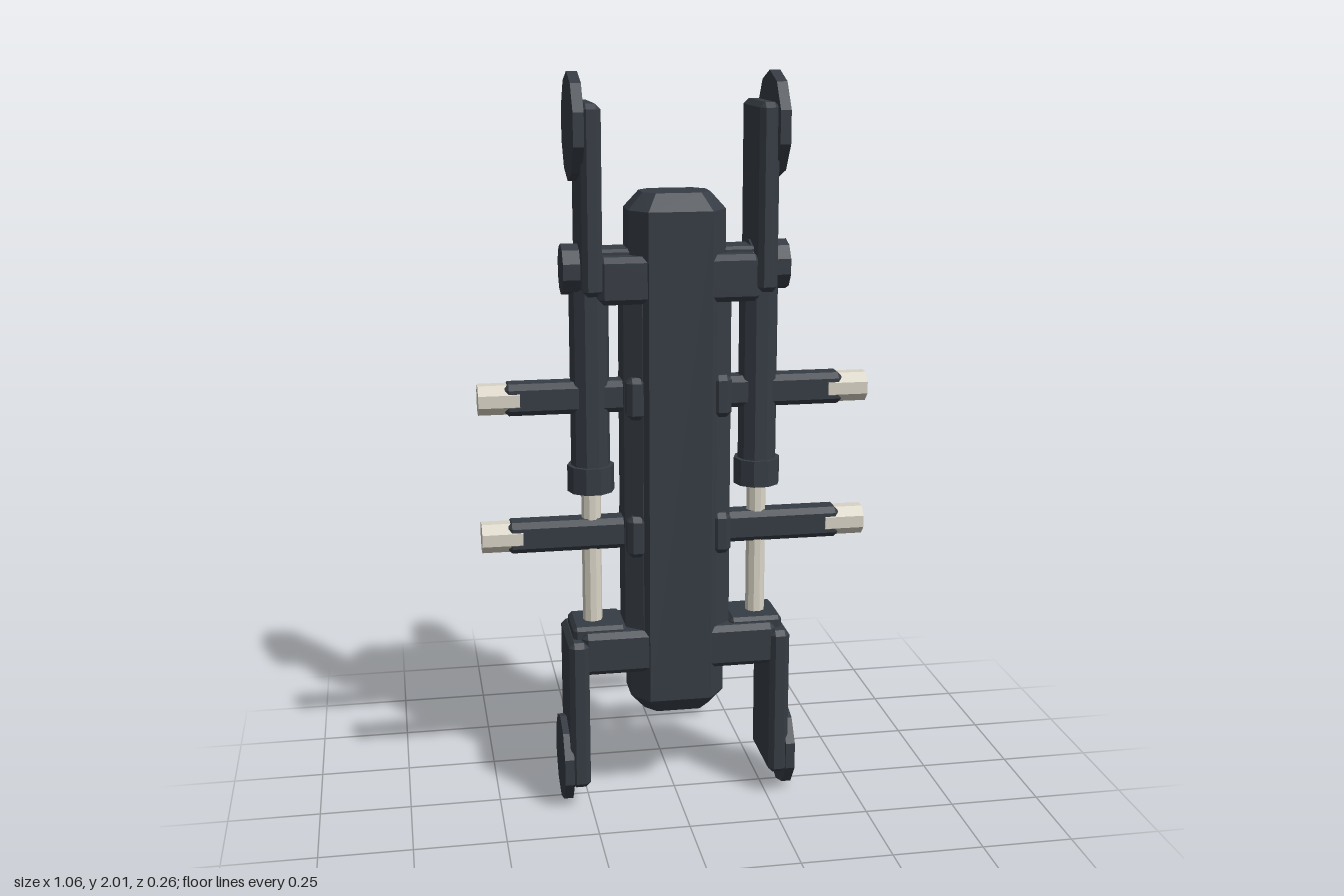
import * as THREE from 'three';
import { ConvexGeometry } from 'three/addons/geometries/ConvexGeometry.js';

const dark = new THREE.MeshStandardMaterial({ color: 0x363c44, flatShading: true });
dark.name = 'gunmetal';
const pale = new THREE.MeshStandardMaterial({ color: 0xd8d3c5, flatShading: true });
pale.name = 'pale steel';

// Box between x0..x1, y0..y1 and -z..z with every edge cut off by c
function chamferBox(x0, x1, y0, y1, z, c) {
  const hx = (x1 - x0) / 2, hy = (y1 - y0) / 2, points = [];
  for (const sx of [-1, 1]) for (const sy of [-1, 1]) for (const sz of [-1, 1]) {
    points.push(
      new THREE.Vector3(sx * hx, sy * (hy - c), sz * (z - c)),
      new THREE.Vector3(sx * (hx - c), sy * hy, sz * (z - c)),
      new THREE.Vector3(sx * (hx - c), sy * (hy - c), sz * z));
  }
  return new ConvexGeometry(points).translate((x0 + x1) / 2, (y0 + y1) / 2, 0);
}

// Eight-sided upright column; each level is [y, halfX, halfZ, cutX, cutZ]
function octagonColumn(levels) {
  const points = [];
  for (const [y, x, z, cx, cz] of levels) {
    for (const sx of [-1, 1]) for (const sz of [-1, 1]) {
      points.push(new THREE.Vector3(sx * x, y, sz * (z - cz)),
        new THREE.Vector3(sx * (x - cx), y, sz * z));
    }
  }
  return new ConvexGeometry(points);
}

// Cylinder lying along x; ten sides have a flat top and bottom
function discX(r, x0, x1, y, sides = 10, turn = 0) {
  const g = new THREE.CylinderGeometry(r, r, x1 - x0, sides);
  g.rotateY(Math.PI / 2 + turn).rotateZ(Math.PI / 2);
  return g.translate((x0 + x1) / 2, y, 0);
}

// Upright cylinder with a corner facing sideways
function postY(r, x, y0, y1, sides = 10) {
  const g = new THREE.CylinderGeometry(r, r, y1 - y0, sides).rotateY(Math.PI / 2);
  return g.translate(x, (y0 + y1) / 2, 0);
}

export function createModel() {
  const model = new THREE.Group();
  model.name = 'mechanicalFrame';
  const add = (parent, name, geometry, material = dark) => {
    const mesh = new THREE.Mesh(geometry, material);
    mesh.name = name;
    parent.add(mesh);
  };

  // Central column with tapered ends, and the wider core behind it
  add(model, 'centralColumn', octagonColumn([
    [0.26, 0.09, 0.068, 0.03, 0.035], [0.305, 0.13, 0.103, 0.045, 0.058],
    [1.655, 0.13, 0.103, 0.045, 0.058], [1.70, 0.09, 0.068, 0.03, 0.035]]));
  add(model, 'innerCore', octagonColumn([
    [0.47, 0.145, 0.086, 0.045, 0.036], [1.45, 0.145, 0.086, 0.045, 0.036]]));

  // Crossbars
  add(model, 'upperCrossbar', chamferBox(-0.215, 0.215, 1.415, 1.54, 0.1, 0.015));
  add(model, 'lowerCrossbar', chamferBox(-0.27, 0.27, 0.39, 0.51, 0.1, 0.015));

  for (const side of [1, -1]) {
    const half = new THREE.Group();
    half.name = side > 0 ? 'leftAssembly' : 'rightAssembly';

    // Upper plate with its disc and pivot
    add(half, 'upperPlate', chamferBox(0.205, 0.258, 1.44, 1.93, 0.112, 0.014));
    add(half, 'upperDisc', discX(0.139, 0.252, 0.28, 1.868));
    add(half, 'pivotCap', discX(0.067, 0.2, 0.303, 1.5));
    add(half, 'upperMount', chamferBox(0.12, 0.25, 1.48, 1.555, 0.05, 0.008));

    // Lower plate with its disc and the rod seat
    add(half, 'lowerPlate', chamferBox(0.253, 0.308, 0.062, 0.49, 0.112, 0.014));
    add(half, 'lowerDisc', discX(0.121, 0.3, 0.326, 0.115));
    add(half, 'rodSeat', chamferBox(0.145, 0.292, 0.46, 0.523, 0.075, 0.01));

    // Piston
    add(half, 'pistonCylinder', postY(0.053, 0.23, 0.95, 1.46));
    add(half, 'pistonCollar', postY(0.064, 0.23, 0.895, 0.968));
    add(half, 'pistonRod', postY(0.027, 0.23, 0.5, 0.91), pale);

    // Side arms with pale tips
    for (const y of [1.158, 0.775]) {
      add(half, 'armSocket', chamferBox(0.09, 0.142, y - 0.055, y + 0.06, 0.094, 0.014));
      add(half, 'sideArm', chamferBox(0.1, 0.464, y - 0.043, y + 0.043, 0.038, 0.015));
      add(half, 'armTip', discX(0.043, 0.42, 0.53, y, 8, Math.PI / 8), pale);
    }

    // The opposite half is the same assembly turned round
    half.rotation.y = side > 0 ? 0 : Math.PI;
    model.add(half);
  }
  return model;
}
